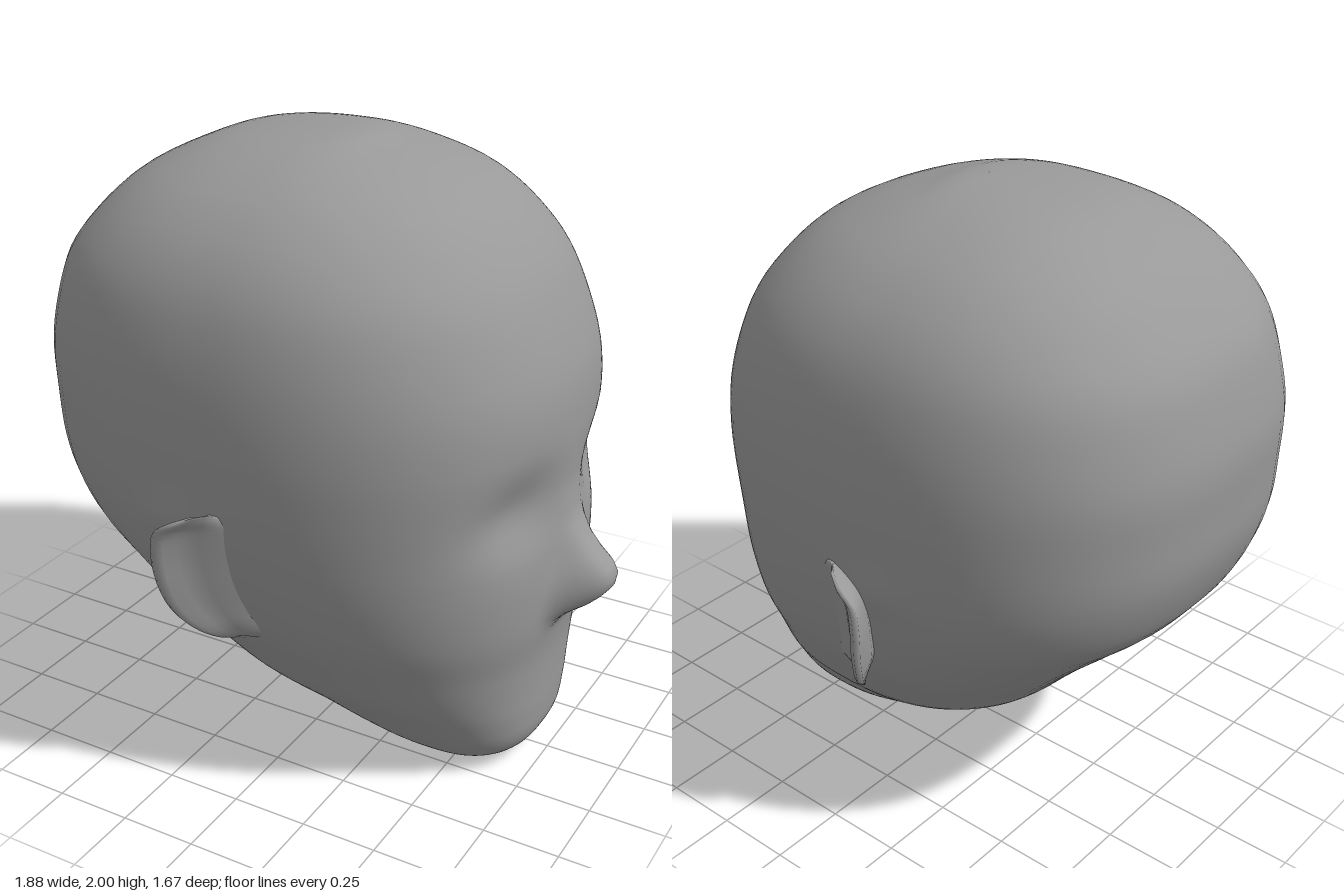
import * as THREE from 'three';

const material = new THREE.MeshStandardMaterial({ color: 0x999999 });

// Skin a stack of closed rings, bottom to top; flip for mirrored parts
function loft(rings, flip = false) {
  const n = rings[0].length, index = [];
  for (let i = 0; i < rings.length - 1; i++) {
    for (let j = 0; j < n; j++) {
      const a = i * n + j, b = i * n + (j + 1) % n, c = a + n, d = b + n;
      if (flip) index.push(a, b, c, b, d, c);
      else index.push(a, c, b, b, c, d);
    }
  }
  const geo = new THREE.BufferGeometry();
  geo.setAttribute('position', new THREE.Float32BufferAttribute(rings.flat(2), 3));
  geo.setIndex(index);
  geo.computeVertexNormals();
  return geo;
}

// Hermite interpolation through rows of numbers, spaced by their distance
function smoothRows(rows, steps) {
  const last = rows.length - 1, knots = [0], out = [];
  for (let i = 1; i <= last; i++) {
    knots.push(knots[i - 1] + Math.hypot(...rows[i].slice(0, 4).map((v, k) => v - rows[i - 1][k])));
  }
  const slope = (i, k) => (rows[i + 1][k] - rows[i][k]) / (knots[i + 1] - knots[i]);
  const tangent = (i, k) => {
    if (i === 0) return slope(0, k);
    if (i === last) return slope(last - 1, k);
    const h0 = knots[i] - knots[i - 1], h1 = knots[i + 1] - knots[i];
    return (slope(i - 1, k) * h1 + slope(i, k) * h0) / (h0 + h1);
  };
  for (let i = 0; i < last; i++) {
    const h = knots[i + 1] - knots[i];
    for (let s = 0; s < steps; s++) {
      const t = s / steps, e = t * t * (3 - 2 * t);
      out.push(rows[i].map((v, k) => v + (rows[i + 1][k] - v) * e
        + h * t * (1 - t) * ((1 - t) * tangent(i, k) - t * tangent(i + 1, k))));
    }
  }
  out.push(rows[last]);
  return out;
}

// Linear lookup in [key, value...] rows sorted by key
function lookup(rows, y, k) {
  if (y <= rows[0][0]) return rows[0][k];
  for (let i = 1; i < rows.length; i++) {
    if (y <= rows[i][0]) {
      const t = (y - rows[i - 1][0]) / (rows[i][0] - rows[i - 1][0]);
      return THREE.MathUtils.lerp(rows[i - 1][k], rows[i][k], t);
    }
  }
  return rows[rows.length - 1][k];
}

// Head sections: y, back x, front x, half width, x of widest point, squareness of front
const HEAD = [
  [0.0, 0.469, 0.471, 0.001, 0.47, 2.4],
  [0.005, 0.36, 0.57, 0.14, 0.46, 2.4],
  [0.02, 0.26, 0.64, 0.215, 0.45, 2.5],
  [0.055, 0.14, 0.7, 0.27, 0.42, 2.6],
  [0.11, 0.0, 0.735, 0.32, 0.37, 2.6],
  [0.2, -0.17, 0.746, 0.39, 0.28, 2.6],
  [0.31, -0.36, 0.75, 0.48, 0.17, 2.5],
  [0.42, -0.465, 0.757, 0.55, 0.1, 2.45],
  [0.55, -0.59, 0.778, 0.628, 0.03, 2.4],
  [0.67, -0.715, 0.785, 0.675, 0.0, 2.37],
  [0.81, -0.85, 0.785, 0.715, -0.03, 2.35],
  [0.92, -0.9, 0.782, 0.737, -0.05, 2.35],
  [1.03, -0.93, 0.783, 0.75, -0.05, 2.35],
  [1.18, -0.94, 0.785, 0.76, -0.05, 2.35],
  [1.34, -0.943, 0.77, 0.757, -0.06, 2.35],
  [1.48, -0.915, 0.725, 0.74, -0.07, 2.35],
  [1.62, -0.868, 0.66, 0.702, -0.08, 2.35],
  [1.74, -0.775, 0.57, 0.635, -0.09, 2.3],
  [1.84, -0.668, 0.46, 0.535, -0.1, 2.3],
  [1.92, -0.525, 0.295, 0.4, -0.1, 2.25],
  [1.97, -0.38, 0.13, 0.26, -0.08, 2.2],
  [1.993, -0.2, 0.05, 0.13, -0.05, 2.1],
  [2.0, -0.031, -0.029, 0.001, -0.03, 2],
];

// Nose: y, projection, half width
const NOSE = [
  [0.53, 0, 0.1], [0.565, 0.03, 0.115], [0.62, 0.11, 0.12], [0.67, 0.148, 0.115],
  [0.71, 0.155, 0.108], [0.745, 0.132, 0.1], [0.79, 0.075, 0.09], [0.88, 0.018, 0.085], [1.0, 0, 0.08],
];

const bump = (d, r) => Math.exp(-(d * d) / (r * r));

// Forward offset of the face for nose and eye sockets
function faceOffset(y, z) {
  const nose = lookup(NOSE, y, 1) * Math.exp(-Math.pow(Math.abs(z) / lookup(NOSE, y, 2), 3.2));
  const eyes = -0.05 * bump(Math.abs(z) - 0.28, 0.16) * bump(y - 0.99, 0.12);
  return nose + eyes;
}

function headGeometry() {
  const segments = 112;
  const rings = smoothRows(HEAD, 4).map(([y, back, front, w, xc, nFront]) => {
    const nBack = 2.4 + 0.17 * THREE.MathUtils.smoothstep(y, 0.5, 1.0);
    const ring = [];
    for (let j = 0; j < segments; j++) {
      const phi = (j / segments) * Math.PI * 2;
      const a = phi - 0.5 * Math.sin(phi); // denser around the face
      const c = Math.cos(a), s = Math.sin(a), n = c > 0 ? nFront : nBack;
      const r = Math.pow(Math.abs(c) ** n + Math.abs(s) ** n, -1 / n);
      let x = xc + r * c * (c > 0 ? front - xc : xc - back);
      // Slight swelling where the ear joins the skull
      const swell = 0.018 * bump(x + 0.2, 0.08) * bump(y - 0.95, 0.08);
      const z = w * r * s + swell * s;
      if (c > 0) x += faceOffset(y, z) * THREE.MathUtils.smoothstep(c, 0.1, 0.6);
      ring.push([x, Math.max(y, 0), z]);
    }
    return ring;
  });
  return loft(rings);
}

// Ear sections: y, rim x, rim z, front root x, head surface z
const EAR = [
  [0.53, -0.06, 0.65, -0.02, 0.62],
  [0.545, -0.1, 0.69, 0.03, 0.625],
  [0.58, -0.14, 0.735, 0.05, 0.64],
  [0.66, -0.19, 0.79, 0.02, 0.67],
  [0.76, -0.215, 0.822, 0.0, 0.70],
  [0.86, -0.225, 0.832, -0.01, 0.725],
  [0.94, -0.212, 0.832, -0.01, 0.74],
  [0.98, -0.16, 0.828, -0.015, 0.747],
  [1.005, -0.1, 0.80, -0.03, 0.75],
];

function earGeometry(side) {
  const rings = smoothRows(EAR, 3).map(([y, rx, rz, fx, hz], i, all) => {
    const thick = 0.055 * Math.min(1, 0.3 + Math.min(i, all.length - 1 - i) / 6);
    return [
      [fx + 0.02, hz - 0.04],
      [fx, hz - 0.002],
      [fx * 0.6 + rx * 0.4, hz + (rz - hz) * 0.25],
      [fx * 0.35 + rx * 0.65, hz + (rz - hz) * 0.6],
      [rx + thick * 0.8, rz - 0.012],
      [rx + thick * 0.35, rz],
      [rx, rz - 0.008],
      [rx + 0.035, hz + (rz - hz) * 0.4],
      [Math.min(rx + 0.09, fx - 0.02), hz - 0.05],
    ].map(([x, z]) => [x, y, z * side]);
  });
  // Close both ends on their middle points
  const close = (ring) => {
    const m = [0, 1, 2].map((k) => ring.reduce((t, p) => t + p[k], 0) / ring.length);
    return ring.map(() => m);
  };
  return loft([close(rings[0]), ...rings, close(rings[rings.length - 1])], side < 0);
}

export function createModel() {
  const group = new THREE.Group();
  group.name = 'headBust';
  const add = (name, geo) => {
    const mesh = new THREE.Mesh(geo, material);
    mesh.name = name;
    group.add(mesh);
  };
  add('head', headGeometry());
  add('earPositiveZ', earGeometry(1));
  add('earNegativeZ', earGeometry(-1));
  return group;
}
